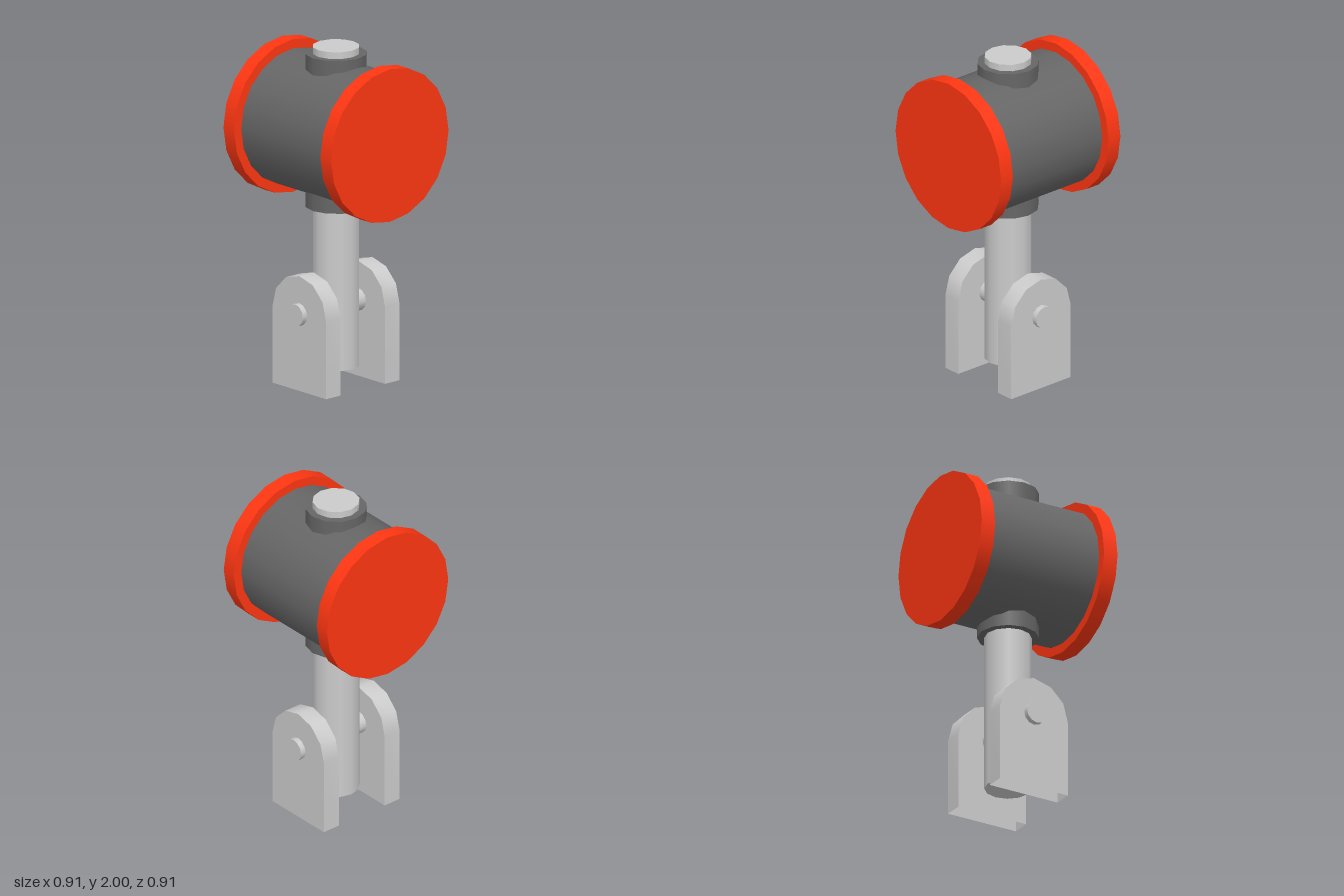
import * as THREE from 'three';

const grey = new THREE.MeshStandardMaterial({ color: 0xcccccc });
const plateGrey = new THREE.MeshStandardMaterial({ color: 0xcccccc, side: THREE.DoubleSide });
const dark = new THREE.MeshStandardMaterial({ color: 0x666666 });
const red = new THREE.MeshStandardMaterial({ color: 0xff3612 });

function cylinder(name, radius, length, sides, material, axis = 'y') {
  const geometry = new THREE.CylinderGeometry(radius, radius, length, sides);
  if (axis === 'x') geometry.rotateZ(Math.PI / 2);
  if (axis === 'z') geometry.rotateX(Math.PI / 2);
  const mesh = new THREE.Mesh(geometry, material);
  mesh.name = name;
  return mesh;
}

// Round-topped plate, open along its bottom edge
function bracketPlate(radius, centreY, thickness) {
  const outline = [new THREE.Vector2(radius, 0)];
  for (let i = 0; i <= 6; i++) {
    const a = (i / 6) * Math.PI;
    outline.push(new THREE.Vector2(Math.cos(a) * radius, centreY + Math.sin(a) * radius));
  }
  outline.push(new THREE.Vector2(-radius, 0));

  const plate = new THREE.Group();
  const face = new THREE.ShapeGeometry(new THREE.Shape(outline));
  const front = new THREE.Mesh(face, plateGrey);
  front.name = 'plateFront';
  front.position.z = thickness / 2;
  const back = new THREE.Mesh(face, plateGrey);
  back.name = 'plateBack';
  back.rotation.y = Math.PI;
  back.position.z = -thickness / 2;

  // Rim joining the two faces
  const positions = [];
  const indices = [];
  outline.forEach((p, i) => {
    positions.push(p.x, p.y, thickness / 2, p.x, p.y, -thickness / 2);
    if (i > 0) {
      const a = 2 * (i - 1);
      indices.push(a, a + 1, a + 2, a + 1, a + 3, a + 2);
    }
  });
  const rimGeometry = new THREE.BufferGeometry();
  rimGeometry.setAttribute('position', new THREE.Float32BufferAttribute(positions, 3));
  rimGeometry.setIndex(indices);
  rimGeometry.computeVertexNormals();
  const rim = new THREE.Mesh(rimGeometry, plateGrey);
  rim.name = 'plateRim';

  plate.add(front, back, rim);
  return plate;
}

export function createModel() {
  const model = new THREE.Group();
  model.name = 'mallet';

  // Head: drum with a collar running through it
  const drum = cylinder('headDrum', 0.4, 0.74, 20, dark, 'x');
  drum.position.y = 1.505;
  const collar = cylinder('headCollar', 0.178, 0.91, 12, dark);
  collar.position.y = 1.505;
  model.add(drum, collar);

  // Striking caps
  for (const side of [1, -1]) {
    const cap = cylinder(side > 0 ? 'leftCap' : 'rightCap', 0.455, 0.09, 20, red, 'x');
    cap.position.set(side * 0.41, 1.505, 0);
    model.add(cap);
  }

  // Handle
  const handle = cylinder('handle', 0.136, 1.9, 12, grey);
  handle.position.y = 1.05;
  model.add(handle);

  // Pivot bracket and pin
  for (const side of [1, -1]) {
    const plate = bracketPlate(0.227, 0.457, 0.112);
    plate.name = side > 0 ? 'frontBracket' : 'backBracket';
    plate.position.z = side * 0.228;
    model.add(plate);
  }
  const pin = cylinder('pivotPin', 0.066, 0.635, 12, grey, 'z');
  pin.position.y = 0.457;
  model.add(pin);

  return model;
}
